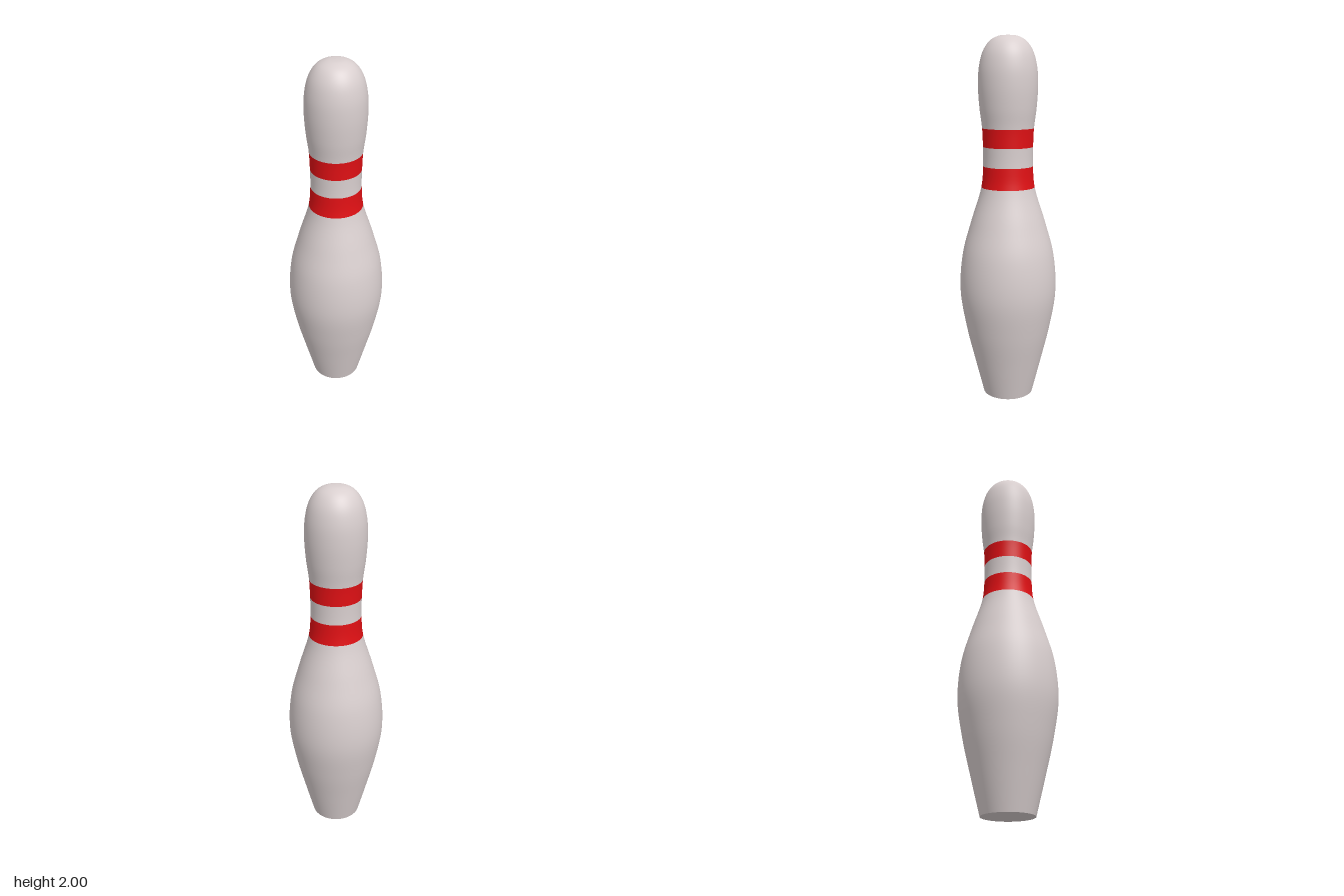
import * as THREE from 'three';

export function createModel() {
  const pin = new THREE.Group();
  pin.name = 'bowlingPin';
  const white = new THREE.MeshStandardMaterial({ name: 'warm white', color: 0xd9cfcf });
  const red = new THREE.MeshStandardMaterial({ name: 'stripe red', color: 0xe01014 });

  // Outline as [radius, height]; the curve passes through every point
  const outline = [
    [0.14, 0], [0.19, 0.2], [0.237, 0.4], [0.268, 0.61], [0.253, 0.82], [0.205, 1.0],
    [0.146, 1.195], [0.136, 1.31], [0.136, 1.415], [0.14, 1.515], [0.153, 1.62],
    [0.16, 1.74], [0.154, 1.84], [0.132, 1.92], [0.095, 1.972], [0.05, 1.995], [0, 2],
  ];
  const curve = new THREE.CatmullRomCurve3(outline.map(([r, y]) => new THREE.Vector3(r, y, 0)));
  const steps = 6;

  // Revolve the outline between two of its points
  function section(name, from, to, material) {
    const points = [];
    for (let i = from * steps; i <= to * steps; i++) {
      const p = curve.getPoint(i / (steps * (outline.length - 1)));
      points.push(new THREE.Vector2(Math.max(0, p.x), p.y));
    }
    const mesh = new THREE.Mesh(new THREE.LatheGeometry(points, 64), material);
    mesh.name = name;
    pin.add(mesh);
  }
  section('belly', 0, 6, white);
  section('lowerStripe', 6, 7, red);
  section('neck', 7, 8, white);
  section('upperStripe', 8, 9, red);
  section('head', 9, 16, white);

  // Flat underside
  const base = new THREE.Mesh(new THREE.CircleGeometry(0.14, 64), white);
  base.name = 'base';
  base.rotation.x = Math.PI / 2;
  pin.add(base);

  return pin;
}
